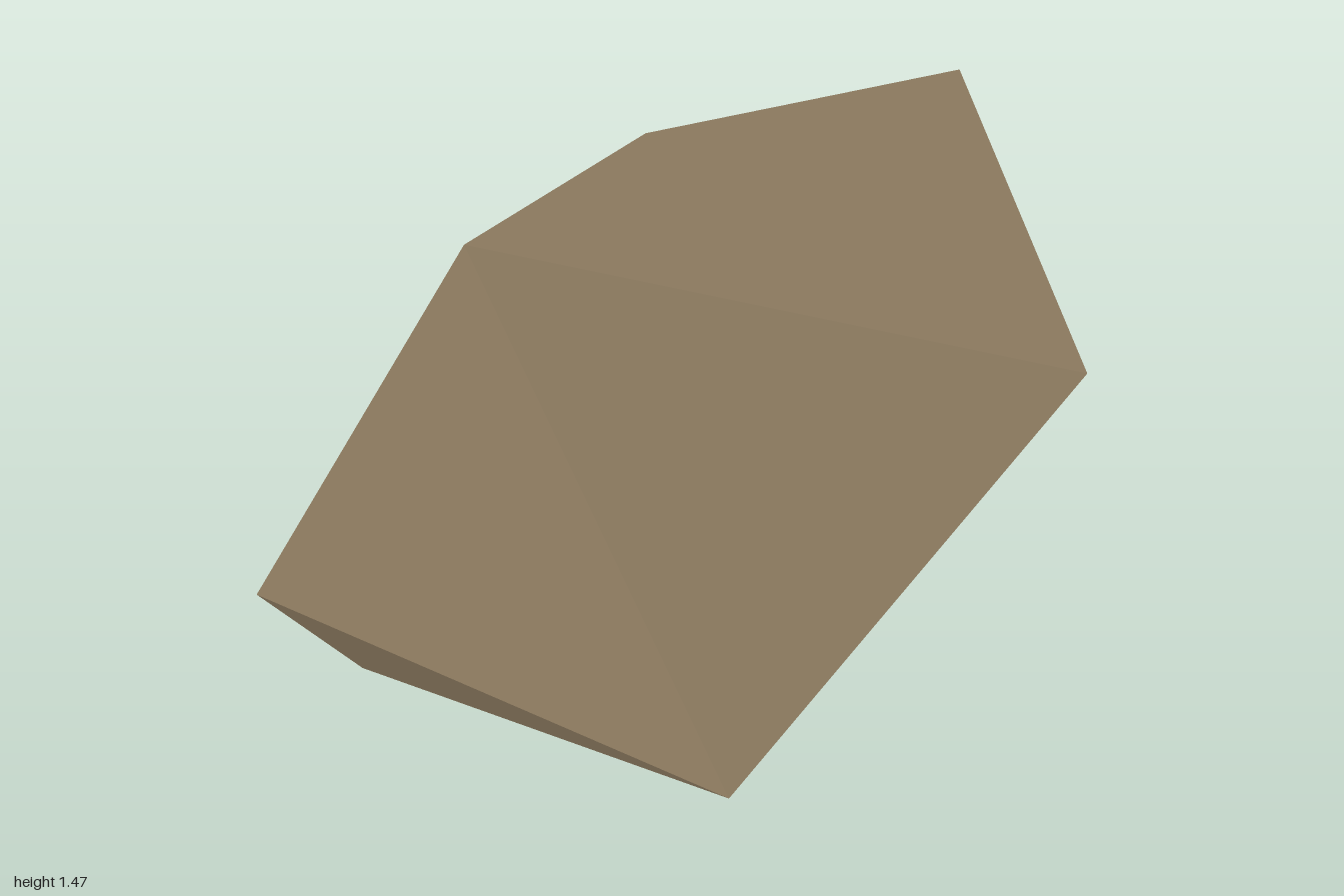
import * as THREE from 'three';

export function createModel() {
  const model = new THREE.Group();
  model.name = 'rock';

  const stone = new THREE.MeshStandardMaterial({ color: 0x8c7a5f });
  stone.name = 'brown stone';

  // Corners of the faceted boulder
  const corners = [
    // 0-3: sloping top
    -0.45, 1.47, 0.385, 1.0, 1.303, 0.72, 0.94, 1.3, -0.85, 0.0, 1.415, -0.265,
    // 4-6: shoulder on the -x side
    -1.0, 0.63, 0.675, -0.76, 0.35, 0.65, -0.73, 0.395, -0.09,
    // 7-8: narrow foot
    0.19, 0.05, 0.85, -0.15, 0.0, -0.42,
  ];

  // Facets; front, +x side and back are each folded slightly inwards
  const facets = [
    1, 2, 0, 0, 2, 3, // top
    1, 0, 7, 0, 4, 7, // front
    2, 1, 8, 1, 7, 8, // +x side
    3, 2, 8, 3, 8, 6, // back
    0, 3, 6, 0, 6, 4, // -x side
    7, 4, 5, 8, 7, 5, 6, 8, 5, 4, 6, 5, // underside
  ];

  const indexed = new THREE.BufferGeometry();
  indexed.setAttribute('position', new THREE.Float32BufferAttribute(corners, 3));
  indexed.setIndex(facets);

  // Separate the facets so that each keeps its own flat normal
  const geometry = indexed.toNonIndexed();
  geometry.computeVertexNormals();

  const boulder = new THREE.Mesh(geometry, stone);
  boulder.name = 'boulder';
  model.add(boulder);
  return model;
}
